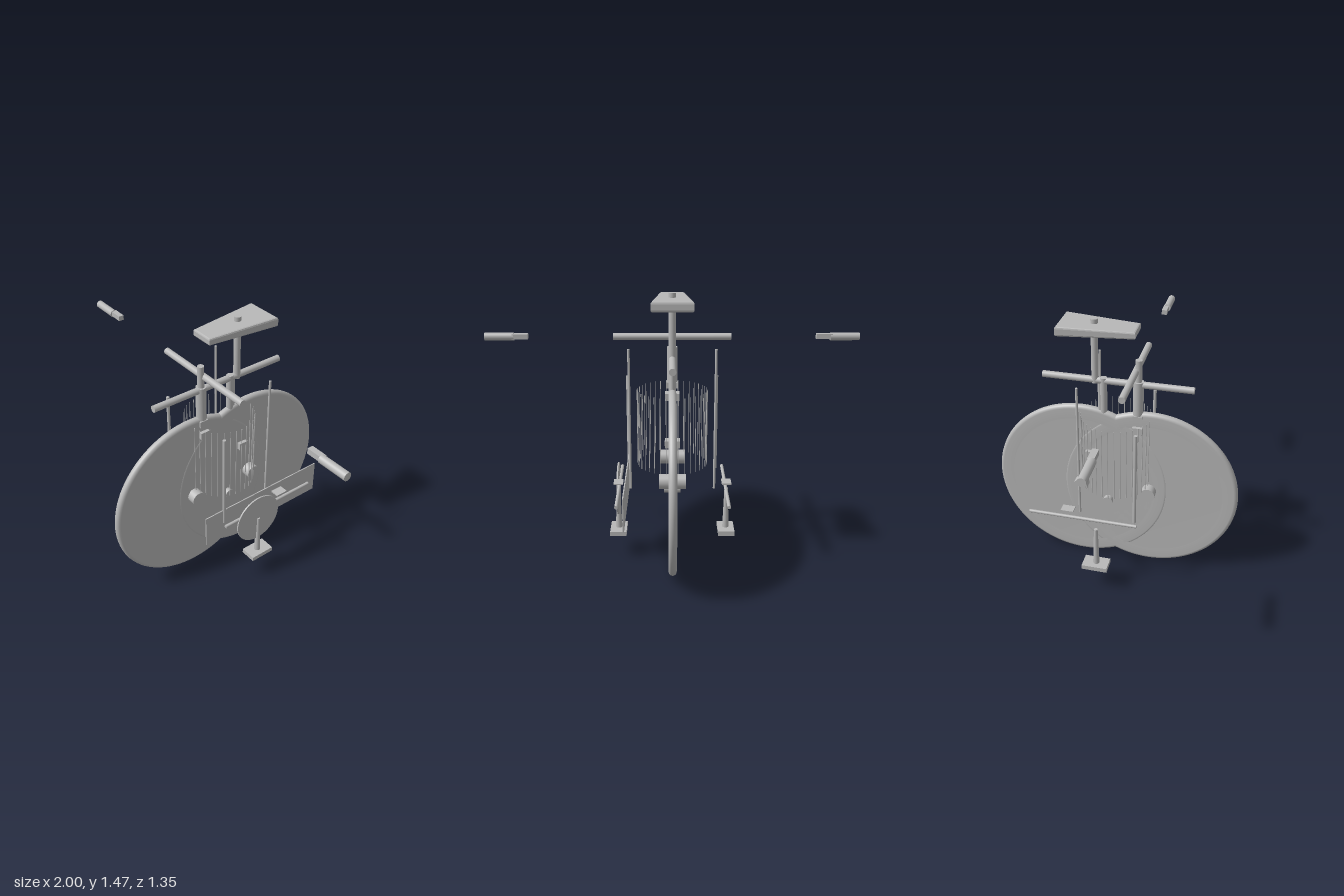
import * as THREE from 'three';

export function createModel() {
  const model = new THREE.Group();
  const grey = new THREE.MeshStandardMaterial({ color: 0xb8b8b8 });
  grey.name = 'plain grey';

  const add = (name, geometry, x, y, z) => {
    const mesh = new THREE.Mesh(geometry, grey);
    mesh.name = name;
    mesh.position.set(x, y, z);
    model.add(mesh);
    return mesh;
  };
  const box = (name, w, h, d, x, y, z) => add(name, new THREE.BoxGeometry(w, h, d), x, y, z);
  // Upright tube between two heights
  const post = (name, r, y0, y1, x, z, rBottom = r, sides = 24) =>
    add(name, new THREE.CylinderGeometry(r, rBottom, y1 - y0, sides), x, (y0 + y1) / 2, z);
  // Tube lying along x or z
  const barX = (name, r, length, x, y, z, sides = 32) =>
    add(name, new THREE.CylinderGeometry(r, r, length, sides).rotateZ(Math.PI / 2), x, y, z);
  const barZ = (name, r, length, x, y, z) =>
    add(name, new THREE.CylinderGeometry(r, r, length, 24).rotateX(Math.PI / 2), x, y, z);

  // Overlapping solid wheels: shallow step at the rim, rounded tyre edge
  const profile = [[0, -0.019], [0.404, -0.019], [0.406, -0.021], [0.465, -0.021]];
  for (let i = 1; i < 8; i++) {
    const a = -Math.PI / 2 + (i * Math.PI) / 8;
    profile.push([0.465 + 0.021 * Math.cos(a), 0.021 * Math.sin(a)]);
  }
  profile.push([0.465, 0.021], [0.406, 0.021], [0.404, 0.019], [0, 0.019]);
  const wheel = new THREE.LatheGeometry(profile.map(([r, h]) => new THREE.Vector2(r, h)), 96)
    .rotateZ(Math.PI / 2);
  for (const z of [0.19, -0.19]) {
    add(z > 0 ? 'frontWheel' : 'rearWheel', wheel, 0, 0.488, z);
    barX('hub', 0.04, 0.14, 0, 0.49, z);
  }

  // Ring of upright spokes
  for (let i = 0; i < 36; i++) {
    const a = (i / 36) * Math.PI * 2;
    post('spoke', 0.002, 0.525, 0.94, 0.188 * Math.cos(a), 0.188 * Math.sin(a), 0.002, 6);
  }

  // Frame tubes
  barZ('topTube', 0.018, 0.8, 0, 1.13, 0.005);
  post('headTube', 0.028, 0.955, 1.147, 0, 0.117);
  post('stem', 0.018, 1.14, 1.267, 0, 0.117);
  post('seatTube', 0.019, 0.4, 1.147, 0, -0.068);
  post('downTube', 0.012, 0.4, 1.13, 0, -0.087);
  barX('bottomBracket', 0.027, 0.09, 0, 0.392, -0.04);
  box('forkCrown', 0.06, 0.035, 0.05, 0, 0.937, 0.119);
  box('frontBrake', 0.08, 0.04, 0.054, 0, 0.87, 0.12);
  box('rearBrake', 0.08, 0.04, 0.054, 0, 0.685, -0.138);

  // Handlebar, with the grips standing well outside it
  barX('handlebar', 0.018, 0.63, 0, 1.205, 0.103);

  // Seat: bevelled wedge, wide and slightly thicker at the back
  post('seatPost', 0.0185, 1.115, 1.468, 0, -0.113);
  const outline = new THREE.Shape([
    [-0.057, -0.102], [0.057, -0.102], [0.097, 0.28], [-0.097, 0.28],
  ].map(([x, z]) => new THREE.Vector2(x, z)));
  const seat = new THREE.ExtrudeGeometry(outline, {
    depth: 0.026, bevelThickness: 0.009, bevelSize: 0.008, bevelSegments: 2,
  }).translate(0, 0, -0.013).rotateX(-Math.PI / 2);
  const p = seat.attributes.position;
  for (let i = 0; i < p.count; i++) p.setY(i, p.getY(i) * (1 - (p.getZ(i) + 0.09) * 0.8));
  seat.computeVertexNormals();
  add('seat', seat, 0, 1.422, 0);

  // Parts mirrored left and right
  for (const s of [1, -1]) {
    barX('grip', 0.021, 0.155, s * 0.9225, 1.205, 0.103);
    box('brakeLever', 0.085, 0.028, 0.03, s * 0.812, 1.207, 0.1);
    post('forkLeg', 0.009, 0.435, 0.975, s * 0.245, 0.158);
    post('seatStay', 0.0065, 0.435, 1.19, s * 0.222, -0.147);
    barZ('chainStay', 0.009, 0.59, s * 0.284, 0.439, -0.117);
    box('dropout', 0.05, 0.007, 0.068, s * 0.283, 0.49, -0.195);
    post('crankArm', 0.01, 0.15, 0.39, s * 0.296, -0.04, 0.018);
    box('pedal', 0.09, 0.025, 0.14, s * 0.297, 0.148, -0.042);
  }

  // Drive side: chain plate and chainring
  box('chainPlate', 0.006, 0.185, 0.772, 0.245, 0.427, -0.108);
  barX('chainring', 0.142, 0.008, 0.294, 0.39, -0.038, 64);

  return model;
}
